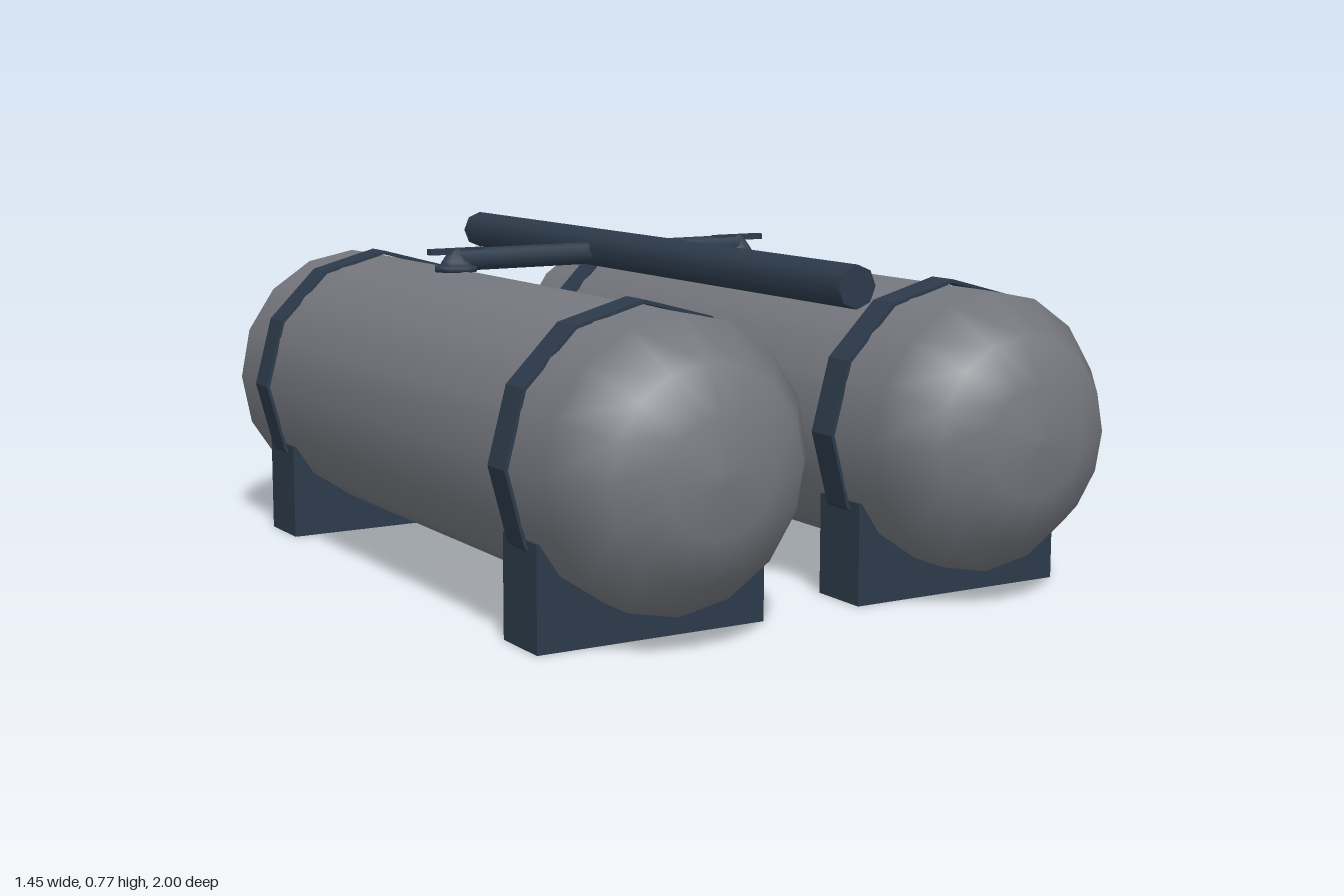
import * as THREE from 'three';

export function createModel() {
  const root = new THREE.Group();
  root.name = 'twinTanks';

  const tankGrey = new THREE.MeshStandardMaterial({ color: 0x75777e });
  tankGrey.name = 'tank grey';
  const steelBlue = new THREE.MeshStandardMaterial({ color: 0x2c3a4a });
  steelBlue.name = 'dark blue steel';

  const add = (parent, name, geometry, material, x = 0, y = 0, z = 0) => {
    const mesh = new THREE.Mesh(geometry, material);
    mesh.name = name;
    mesh.position.set(x, y, z);
    parent.add(mesh);
    return mesh;
  };

  const R = 0.313, AXIS_Y = 0.38;

  // Tank body: domed profile turned about its long axis
  const half = [[0, 0.995], [0.125, 0.985], [0.226, 0.938], [R, 0.825]];
  const profile = [
    ...half.map(([r, z]) => new THREE.Vector2(r, -z)),
    ...half.slice().reverse().map(([r, z]) => new THREE.Vector2(r, z)),
  ];
  const tankGeo = new THREE.LatheGeometry(profile, 16).rotateX(Math.PI / 2);

  // Strap: thin twelve-sided ring
  const polygon = (r, Type) => {
    const pts = [];
    for (let i = 0; i < 12; i++) {
      const a = (i / 12) * Math.PI * 2;
      pts.push(new THREE.Vector2(r * Math.cos(a), r * Math.sin(a)));
    }
    return new Type(pts);
  };
  const ring = polygon(0.327, THREE.Shape);
  ring.holes.push(polygon(0.319, THREE.Path));
  const strapGeo = new THREE.ExtrudeGeometry(ring, { depth: 0.076, bevelEnabled: false });
  strapGeo.translate(0, 0, -0.038);

  const saddleGeo = new THREE.BoxGeometry(0.55, 0.23, 0.148);
  const plateGeo = new THREE.BoxGeometry(0.05, 0.045, 0.009);

  // Valve: stepped flange with a tapered stem
  const valveGeo = new THREE.LatheGeometry([
    [0, 0], [0.053, 0], [0.053, 0.012], [0.04, 0.014], [0.034, 0.024], [0.012, 0.055], [0, 0.055],
  ].map(([r, y]) => new THREE.Vector2(r, y)), 8);
  const handleGeo = new THREE.BoxGeometry(0.14, 0.014, 0.022);

  for (const side of [-1, 1]) {
    const unit = new THREE.Group();
    unit.name = side > 0 ? 'leftTankUnit' : 'rightTankUnit';
    unit.position.x = side * 0.4;
    root.add(unit);

    add(unit, 'tank', tankGeo, tankGrey, 0, AXIS_Y, 0);
    add(unit, 'endPlate', plateGeo, steelBlue, 0, AXIS_Y, -0.9955);
    for (const z of [-0.65, 0.65]) {
      add(unit, 'strap', strapGeo, steelBlue, 0, AXIS_Y, z);
      add(unit, 'saddle', saddleGeo, steelBlue, 0, 0.115, z);
    }
    add(unit, 'valve', valveGeo, steelBlue, 0, 0.69, -0.2);
    add(unit, 'valveHandle', handleGeo, steelBlue, 0, 0.738, -0.2);
  }

  // Pipes: long manifold between the tanks and a cross pipe joining the valves
  const manifold = new THREE.CylinderGeometry(0.047, 0.047, 1.75, 8).rotateX(Math.PI / 2);
  add(root, 'manifoldPipe', manifold, steelBlue, 0, 0.728, 0);
  const cross = new THREE.CylinderGeometry(0.027, 0.027, 0.8, 8).rotateZ(Math.PI / 2);
  add(root, 'crossPipe', cross, steelBlue, 0, 0.717, -0.2);

  return root;
}
